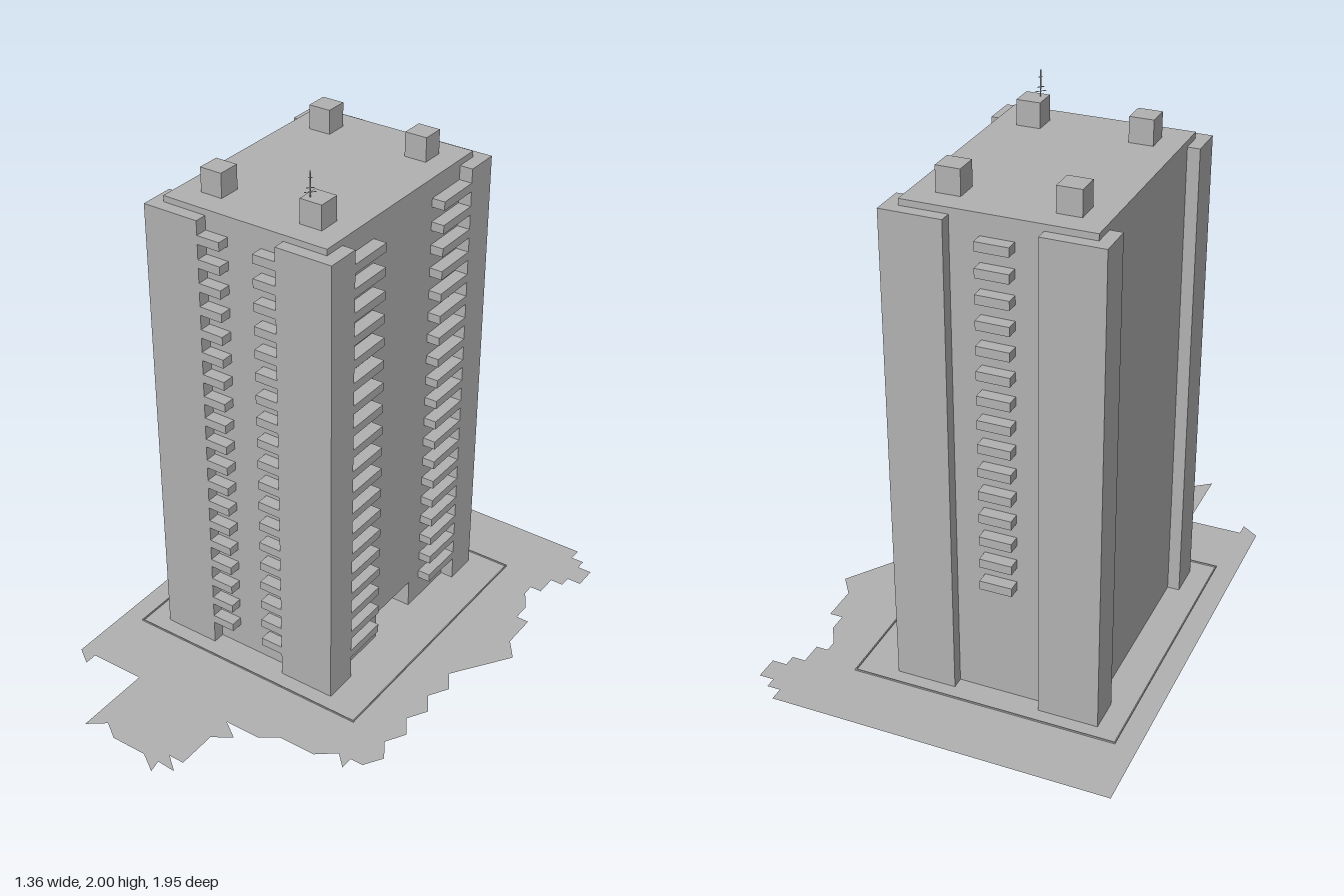
import * as THREE from 'three';

export function createModel() {
  const model = new THREE.Group();
  model.name = 'towerBlock';
  const concrete = new THREE.MeshStandardMaterial({ color: 0xb2b2b2, side: THREE.DoubleSide });
  concrete.name = 'concrete grey';

  // Box given by its minimum and maximum on each axis
  const box = (name, x0, x1, y0, y1, z0, z1, parent = model) => {
    const mesh = new THREE.Mesh(new THREE.BoxGeometry(x1 - x0, y1 - y0, z1 - z0), concrete);
    mesh.position.set((x0 + x1) / 2, (y0 + y1) / 2, (z0 + z1) / 2);
    mesh.name = name;
    parent.add(mesh);
    return mesh;
  };
  const group = (name) => {
    const g = new THREE.Group();
    g.name = name;
    model.add(g);
    return g;
  };

  // Ragged plot of land, as x, z pairs
  const outline = [
    [-0.68, -0.98], [0.575, -0.98], [0.575, -0.93], [0.625, -0.93], [0.625, -0.89], [0.68, -0.89],
    [0.68, -0.8], [0.625, -0.8], [0.625, -0.755], [0.575, -0.755], [0.575, -0.67], [0.53, -0.67],
    [0.53, -0.625], [0.575, -0.55], [0.575, -0.48], [0.625, -0.48], [0.625, -0.34], [0.68, -0.265],
    [0.53, -0.05], [0.575, 0.02], [0.53, 0.095], [0.575, 0.165], [0.53, 0.24], [0.575, 0.31],
    [0.53, 0.385], [0.575, 0.455], [0.53, 0.525], [0.48, 0.525], [0.48, 0.575], [0.43, 0.525],
    [0.36, 0.58], [0.215, 0.58], [0.15, 0.625], [0.01, 0.625], [0.08, 0.675], [0.01, 0.72],
    [0.01, 0.875], [-0.05, 0.875], [0.01, 0.925], [-0.065, 0.92], [-0.055, 0.97], [-0.13, 0.92],
    [-0.27, 0.92], [-0.335, 0.875], [-0.4, 0.925], [-0.4, 0.625], [-0.615, 0.625], [-0.615, 0.675],
    [-0.68, 0.63],
  ];
  const land = new THREE.Shape(outline.map(([x, z]) => new THREE.Vector2(x, -z)));
  const ground = new THREE.Mesh(new THREE.ShapeGeometry(land).rotateX(-Math.PI / 2), concrete);
  ground.position.y = 0.008;
  ground.name = 'ground';
  model.add(ground);

  // Low kerb around the building
  const kerb = group('kerb');
  const t = 0.004;
  for (const x of [-0.598, 0.382]) box('kerbSide', x - t / 2, x + t / 2, 0, 0.014, -0.73, 0.365, kerb);
  for (const z of [-0.73, 0.365]) box('kerbEnd', -0.6, 0.384, 0, 0.014, z - t / 2, z + t / 2, kerb);

  // Core, with an entrance recess in the ground floor of the +x side
  const X0 = -0.47, X1 = 0.19, Z0 = -0.63, Z1 = 0.255;
  const eaves = 1.793, base = 0.008, door = 0.12;
  const core = group('core');
  box('upperFloors', X0, X1, door, eaves, Z0, Z1, core);
  box('groundFloorInner', X0, 0.04, base, door, Z0, Z1, core);
  box('groundFloorFront', 0.04, X1, base, door, -0.07, Z1, core);
  box('groundFloorBack', 0.04, X1, base, door, Z0, -0.3, core);

  // Corner piers: an L in plan, wrapping each corner of the core
  const OX0 = -0.515, OX1 = 0.24, OZ0 = -0.675, OZ1 = 0.302;
  const piers = group('cornerPiers');
  for (const [z0, z1] of [[OZ0, -0.545], [0.17, OZ1]]) {
    const endZ = z0 < 0 ? [OZ0, Z0] : [Z1, OZ1];
    box('leftPierEnd', OX0, -0.295, base, eaves, ...endZ, piers);
    box('rightPierEnd', 0.02, OX1, base, eaves, ...endZ, piers);
    const sideZ = z0 < 0 ? [Z0, z1] : [z0, Z1];
    box('leftPierSide', OX0, X0, base, eaves, ...sideZ, piers);
    box('rightPierSide', X1, OX1, base, eaves, ...sideZ, piers);
  }

  // Balconies on every floor, counted from the top
  const balconies = group('balconies');
  for (let i = 0; i < 19; i++) {
    const y1 = 1.74 - i * 0.0892, y0 = y1 - 0.033;
    box('frontBalcony', -0.295, -0.205, y0, y1, Z1, OZ1, balconies);
    box('frontBalcony', -0.07, 0.02, y0, y1, Z1, OZ1, balconies);
    box('sideBalcony', X1, OX1, y0, y1, -0.01, 0.17, balconies);
    box('sideBalcony', X1, OX1, y0, y1, -0.545, -0.368, balconies);
    if (i < 15) box('backBalcony', -0.2, -0.083, y0, y1, OZ0, Z0, balconies);
  }

  // Roof slab with four vent blocks
  box('roofSlab', X0, X1, eaves, 1.816, Z0, Z1);
  for (const x of [-0.34, 0.062])
    for (const z of [-0.5, 0.12])
      box('roofVent', x - 0.043, x + 0.043, 1.816, 1.907, z - 0.043, z + 0.043);

  // Thin aerial: mast and three small cross arms
  const aerial = group('aerial');
  box('mast', 0.041, 0.044, 1.907, 2, 0.136, 0.139, aerial);
  for (const [y, r] of [[1.925, 0.02], [1.94, 0.013], [1.975, 0.007]]) {
    const arm = box('aerialArm', -r, r, -0.001, 0.001, -0.001, 0.001, aerial);
    arm.position.set(0.0425, y, 0.1375);
    arm.rotation.y = Math.PI / 4;
  }
  return model;
}
